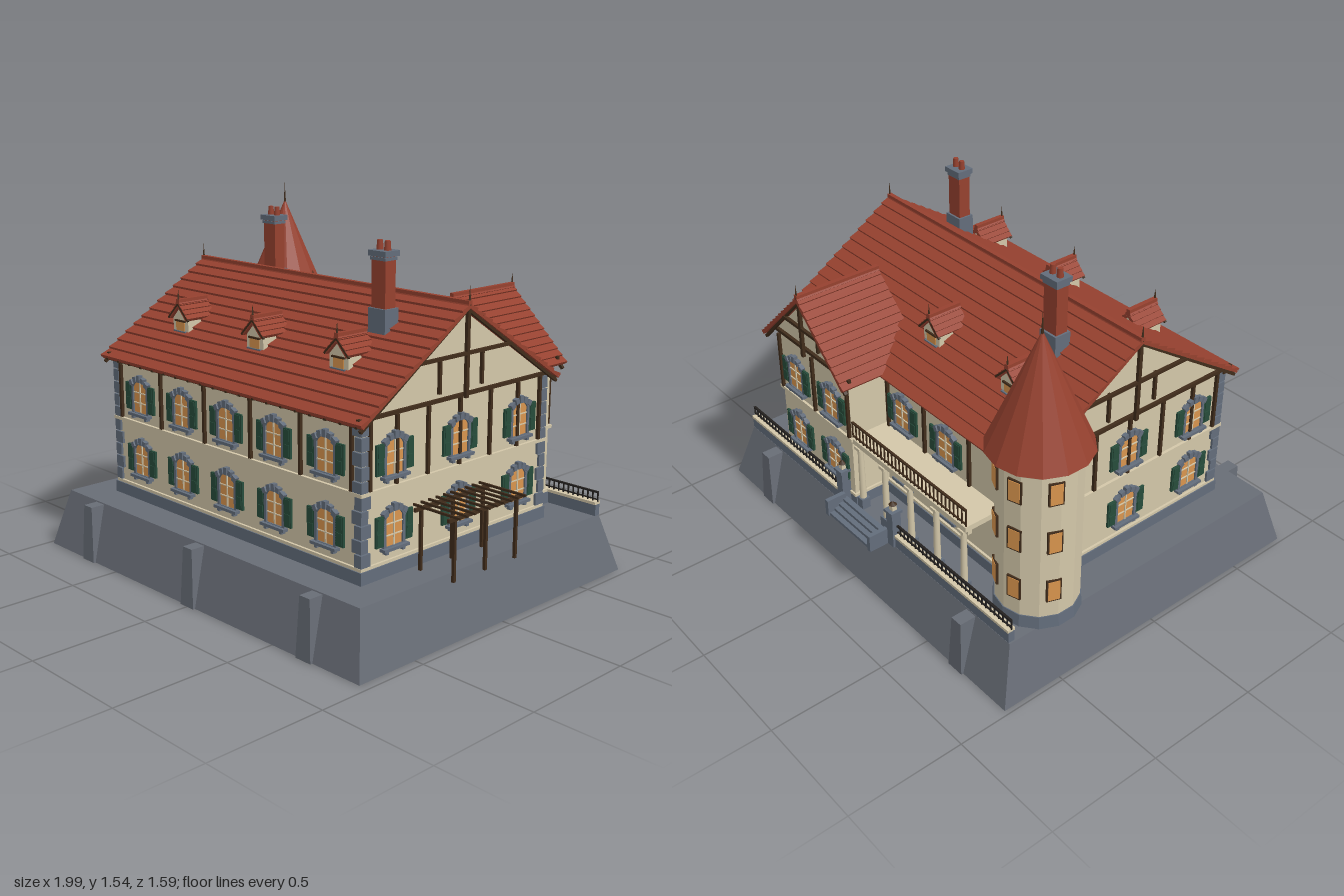
import * as THREE from 'three';

const mat = (name, color) => Object.assign(new THREE.MeshStandardMaterial({ color }), { name });
const M = {
  plaster: mat('cream plaster', 0xd3c7a9),
  roof: mat('red roof tile', 0x96412f),
  rock: mat('foundation stone', 0x686d76),
  stone: mat('dressed stone', 0x636d7b),
  timber: mat('dark timber', 0x402c1b),
  shutter: mat('green shutter', 0x274c3b),
  glass: mat('amber glass', 0xd9954e),
  iron: mat('black iron', 0x24211f),
};

function add(parent, name, geometry, material, x = 0, y = 0, z = 0) {
  const m = new THREE.Mesh(geometry, material);
  m.name = name;
  m.position.set(x, y, z);
  parent.add(m);
  return m;
}
const box = (p, name, material, w, h, d, x, y, z) =>
  add(p, name, new THREE.BoxGeometry(w, h, d), material, x, y, z);

function group(parent, name, x = 0, y = 0, z = 0, ry = 0) {
  const g = new THREE.Group();
  g.name = name;
  g.position.set(x, y, z);
  g.rotation.y = ry;
  parent.add(g);
  return g;
}

// Beam between two points of a wall plane
function beam(p, name, x0, y0, x1, y1, t, z, d = 0.014) {
  const m = box(p, name, M.timber, Math.hypot(x1 - x0, y1 - y0), t, d, (x0 + x1) / 2, (y0 + y1) / 2, z);
  m.rotation.z = Math.atan2(y1 - y0, x1 - x0);
}

// Box standing on y = 0 whose top is resized and shifted in z
function tapered(w, h, d, tw, td, tz) {
  const g = new THREE.BoxGeometry(w, h, d).translate(0, h / 2, 0);
  const a = g.attributes.position;
  for (let i = 0; i < a.count; i++) {
    if (a.getY(i) > h / 2) a.setXYZ(i, a.getX(i) * tw / w, h, a.getZ(i) * td / d + tz);
  }
  g.computeVertexNormals();
  return g;
}

function flat(g) {
  const f = g.toNonIndexed();
  f.computeVertexNormals();
  return f;
}

// Five-sided gable block, ridge along z
function gableBody(hw, y0, ye, ya, depth) {
  const s = new THREE.Shape([[-hw, y0], [hw, y0], [hw, ye], [0, ya], [-hw, ye]].map(p => new THREE.Vector2(...p)));
  return new THREE.ExtrudeGeometry(s, { depth, bevelEnabled: false }).translate(0, 0, -depth / 2);
}

// Gable roof in overlapping tile courses; ridge along local x at y = 0
function gableRoof(parent, name, half, rise, length, rows, x, y, z, ry = 0, t = 0.011) {
  const g = group(parent, name, x, y, z, ry);
  const a = Math.atan2(rise, half), run = Math.hypot(half, rise), row = run / rows;
  for (const turn of [0, Math.PI]) {
    const side = group(g, 'roofSlope', 0, 0, 0, turn);
    const slope = group(side, 'tileCourses');
    slope.rotation.x = a;
    box(slope, 'roofDeck', M.roof, length, 0.008, run, 0, -0.016, run / 2);
    for (let i = 0; i < rows; i++) {
      const c = box(slope, 'tileCourse', M.roof, length, t, row * 1.1, 0, -t / 2 - 0.004, row * (i + 0.5));
      c.rotation.x = -0.2;
    }
  }
  box(g, 'ridgeTile', M.roof, length, 0.014, 0.02, 0, -0.002, 0);
  return g;
}

const spike = (p, x, y, z, h, r = 0.006) => add(p, 'finial', new THREE.ConeGeometry(r, h, 6), M.timber, x, y + h / 2, z);

function archShape(w, h, rise) {
  const s = new THREE.Shape();
  s.moveTo(-w, -h);
  s.lineTo(w, -h);
  s.lineTo(w, h - rise);
  s.quadraticCurveTo(w * 0.75, h, 0, h);
  s.quadraticCurveTo(-w * 0.75, h, -w, h - rise);
  return s;
}
const extrude = (s, depth) => new THREE.ExtrudeGeometry(s, { depth, bevelEnabled: false, curveSegments: 4 });
const glassGeo = extrude(archShape(0.045, 0.07, 0.025), 0.006);
const ring = archShape(0.058, 0.083, 0.028);
ring.holes.push(archShape(0.045, 0.068, 0.025));
const ringGeo = extrude(ring, 0.013);

// Arched window with stone surround, sill and shutters, facing local +z
function archWindow(parent, x, y) {
  const g = group(parent, 'window', x, y, 0);
  add(g, 'windowGlass', glassGeo, M.glass);
  add(g, 'windowSurround', ringGeo, M.stone);
  box(g, 'mullion', M.plaster, 0.006, 0.134, 0.005, 0, 0, 0.008);
  for (const by of [-0.025, 0.02]) box(g, 'glazingBar', M.plaster, 0.09, 0.004, 0.005, 0, by, 0.008);
  box(g, 'sill', M.stone, 0.135, 0.012, 0.03, 0, -0.076, 0.012);
  for (const s of [-1, 1]) {
    box(g, 'sillBracket', M.stone, 0.014, 0.014, 0.02, s * 0.045, -0.088, 0.01);
    box(g, 'shutter', M.shutter, 0.042, 0.118, 0.01, s * 0.077, -0.002, 0.008);
    for (const sy of [-0.03, 0.03]) box(g, 'shutterPanel', M.shutter, 0.028, 0.045, 0.004, s * 0.078, sy, 0.014);
  }
  for (let i = -2; i <= 2; i++) {
    const v = box(g, 'archStone', M.stone, 0.02, i ? 0.022 : 0.03, 0.02, i * 0.026, 0.083 - i * i * 0.0055, 0.01);
    v.rotation.z = -i * 0.25;
  }
}

// Upper-floor timber posts
const posts = (f, xs) => xs.forEach(x => beam(f, 'wallPost', x, 0.6, x, 0.865, 0.013, 0.006));

// Timbered gable front centred on local x = 0
function gableTimber(f, hw, ye, ya, out) {
  const k = (ya - ye) / hw, collar = ye + (ya - ye) * 0.5;
  beam(f, 'gableTie', -hw - 0.03, ye + 0.008, hw + 0.03, ye + 0.008, 0.014, 0.012);
  beam(f, 'gableKingPost', 0, ye, 0, ya, 0.016, out);
  const cw = (ya - collar) / k;
  beam(f, 'gableCollar', -cw, collar, cw, collar, 0.013, out);
  for (const s of [-1, 1]) {
    beam(f, 'gableStud', s * hw * 0.23, ye + 0.03, s * hw * 0.23, collar - 0.015, 0.012, 0.006);
    beam(f, 'bargeBoard', s * (hw + 0.035), ye - 0.035 * k - 0.005, 0, ya - 0.005, 0.012, out - 0.005);
  }
}

function railing(p, name, x0, x1, y, z, h, step, material) {
  const g = group(p, name);
  const n = Math.round((x1 - x0) / step), mid = (x0 + x1) / 2;
  box(g, 'topRail', material, x1 - x0, 0.007, 0.01, mid, y + h, z);
  box(g, 'bottomRail', material, x1 - x0, 0.005, 0.006, mid, y + 0.01, z);
  for (let i = 0; i <= n; i++) box(g, 'baluster', material, 0.005, h, 0.005, x0 + (x1 - x0) * i / n, y + h / 2, z);
}

function dormer(root, x, z, ry) {
  const g = group(root, 'dormer', x, 0, z, ry);
  add(g, 'dormerWall', gableBody(0.05, 0.93, 1.05, 1.1, 0.13), M.plaster, 0, 0, -0.08);
  box(g, 'dormerWindow', M.glass, 0.056, 0.04, 0.006, 0, 1.012, -0.014);
  box(g, 'dormerLintel', M.timber, 0.068, 0.007, 0.01, 0, 1.036, -0.012);
  box(g, 'dormerSill', M.stone, 0.08, 0.008, 0.014, 0, 0.99, -0.012);
  gableRoof(g, 'dormerRoof', 0.067, 0.07, 0.155, 4, 0, 1.125, -0.077, Math.PI / 2, 0.009);
  for (const s of [-1, 1]) beam(g, 'dormerBarge', s * 0.066, 1.043, 0, 1.108, 0.008, -0.004, 0.01);
  spike(g, 0, 1.115, -0.005, 0.06);
}

function chimney(root, x, z, top) {
  const g = group(root, 'chimney', x, 0, z);
  box(g, 'chimneyBase', M.stone, 0.09, 0.2, 0.075, 0, 1.1, 0);
  box(g, 'chimneyStack', M.roof, 0.073, top - 1.24, 0.056, 0, (top + 1.14) / 2, 0);
  box(g, 'chimneyCap', M.stone, 0.092, 0.022, 0.078, 0, top - 0.048, 0);
  box(g, 'chimneyNeck', M.stone, 0.08, 0.012, 0.065, 0, top - 0.068, 0);
  for (const s of [-1, 1]) add(g, 'chimneyPot', new THREE.CylinderGeometry(0.011, 0.014, 0.04, 8), M.roof, s * 0.02, top - 0.02, 0);
}

export function createModel() {
  const root = new THREE.Group();
  root.name = 'manorHouse';
  const floors = [0.433, 0.71], zc = 0.037;

  // Sloping foundation with buttresses
  add(root, 'foundation', tapered(1.94, 0.25, 1.56, 1.815, 1.42, 0.005), M.rock, -0.01, 0, 0.005);
  for (const [z, ry, xs] of [[0.745, 0, [-0.69, 0, 0.68]], [-0.735, Math.PI, [-0.69, 0.68]]])
    for (const x of xs) {
      const b = add(root, 'buttress', tapered(0.08, 0.245, 0.1, 0.055, 0.08, 0), M.rock, x, 0, z);
      b.rotation.y = ry;
    }

  // Main block
  box(root, 'plinth', M.stone, 1.53, 0.05, 1.085, -0.005, 0.275, zc);
  const body = add(root, 'mainWalls', gableBody(0.527, 0.3, 0.868, 1.208, 1.5), M.plaster, -0.005, 0, zc);
  body.rotation.y = Math.PI / 2;
  box(root, 'baseMoulding', M.plaster, 1.52, 0.012, 1.075, -0.005, 0.306, zc);
  box(root, 'stringCourse', M.plaster, 1.525, 0.014, 1.08, -0.005, 0.592, zc);
  gableRoof(root, 'mainRoof', 0.575, 0.368, 1.59, 13, -0.005, 1.238, zc);
  for (const x of [-0.795, 0.785]) spike(root, x, 1.225, zc, 0.075);
  for (const s of [-1, 1]) box(root, 'eavesBeam', M.timber, 1.57, 0.012, 0.016, -0.005, 0.857, zc + s * 0.555);
  for (let i = 0; i < 20; i++) box(root, 'rafterEnd', M.timber, 0.012, 0.016, 0.05, -0.765 + i * 0.08, 0.858, 0.58);

  // Corner quoins, alternating long and short
  for (const sx of [-1, 1]) for (const sz of [-1, 1]) for (let i = 0; i < 10; i++) {
    const a = i % 2 ? 0.05 : 0.036, b = i % 2 ? 0.036 : 0.05;
    box(root, 'quoin', M.stone, a, 0.05, b, -0.005 + sx * (0.76 - a / 2), 0.338 + i * 0.0555, zc + sz * (0.537 - b / 2));
  }

  // Facades of the main block
  const front = group(root, 'frontFacade', 0, 0, 0.564);
  const right = group(root, 'rightFacade', 0.745, 0, zc, Math.PI / 2);
  const left = group(root, 'leftFacade', -0.755, 0, zc, -Math.PI / 2);
  const back = group(root, 'backFacade', 0, 0, -0.49, Math.PI);
  for (const y of floors) {
    for (let i = -2; i <= 2; i++) archWindow(front, -0.005 + i * 0.286, y);
    for (const x of [-0.363, 0, 0.363]) archWindow(right, x, y);
    for (const x of [0, 0.363]) archWindow(left, x, y);
    for (const x of [0, 0.286]) archWindow(back, x, y);
  }
  posts(front, [-0.715, -0.433, -0.145, 0.14, 0.428, 0.7]);
  posts(back, [-0.1, 0.145, 0.43]);
  posts(right, [-0.49, -0.35, -0.18, 0, 0.18, 0.35, 0.49]);
  posts(left, [-0.18, 0, 0.18, 0.35, 0.49]);
  for (const f of [right, left]) gableTimber(f, 0.53, 0.868, 1.215, 0.034);

  // Rear wing
  box(root, 'wingPlinth', M.stone, 0.54, 0.05, 0.24, 0.385, 0.275, -0.55);
  add(root, 'wingWalls', gableBody(0.258, 0.3, 0.895, 1.14, 0.335), M.plaster, 0.385, 0, -0.4975);
  box(root, 'wingMoulding', M.plaster, 0.535, 0.012, 0.24, 0.385, 0.306, -0.553);
  box(root, 'wingStringCourse', M.plaster, 0.54, 0.014, 0.24, 0.385, 0.592, -0.556);
  gableRoof(root, 'wingRoof', 0.305, 0.295, 0.4, 12, 0.385, 1.17, -0.52, Math.PI / 2);
  spike(root, 0.385, 1.155, -0.715, 0.065);
  const wing = group(root, 'wingFacade', 0.385, 0, -0.665, Math.PI);
  for (const y of floors) for (const s of [-1, 1]) archWindow(wing, s * 0.133, y);
  posts(wing, [-0.25, 0, 0.25]);
  gableTimber(wing, 0.26, 0.885, 1.15, 0.042);

  // Round corner tower
  const tower = group(root, 'tower', -0.79, 0, -0.455);
  add(tower, 'towerBase', flat(new THREE.CylinderGeometry(0.172, 0.176, 0.055, 14)), M.stone, 0, 0.277, 0);
  add(tower, 'towerWall', flat(new THREE.CylinderGeometry(0.168, 0.168, 0.69, 14)), M.plaster, 0, 0.645, 0);
  add(tower, 'towerCornice', flat(new THREE.CylinderGeometry(0.182, 0.17, 0.03, 14)), M.plaster, 0, 0.968, 0);
  add(tower, 'towerRoof', flat(new THREE.ConeGeometry(0.208, 0.478, 14)), M.roof, 0, 1.222, 0);
  spike(tower, 0, 1.44, 0, 0.1);
  for (const deg of [-25, 17, 70]) {
    const side = group(tower, 'towerWindows', 0, 0, 0, Math.PI + deg * Math.PI / 180);
    for (const y of [0.43, 0.66, 0.88]) {
      box(side, 'towerWindowFrame', M.timber, 0.06, 0.1, 0.02, 0, y, 0.161);
      box(side, 'towerWindowGlass', M.glass, 0.048, 0.088, 0.006, 0, y, 0.17);
    }
  }

  // Balcony on columns between tower and wing
  box(root, 'balconySlab', M.plaster, 0.75, 0.024, 0.18, -0.245, 0.588, -0.578);
  box(root, 'balconyBeam', M.plaster, 0.75, 0.02, 0.02, -0.245, 0.568, -0.645);
  railing(root, 'balconyRailing', -0.615, 0.125, 0.6, -0.66, 0.075, 0.025, M.timber);
  for (let i = 0; i < 5; i++) {
    const x = -0.58 + i * 0.17;
    add(root, 'balconyColumn', new THREE.CylinderGeometry(0.012, 0.015, 0.31, 10), M.plaster, x, 0.405, -0.645);
    box(root, 'columnCapital', M.plaster, 0.036, 0.014, 0.036, x, 0.553, -0.645);
    box(root, 'columnFoot', M.stone, 0.04, 0.05, 0.04, x, 0.275, -0.645);
  }

  // Terrace parapet, gate posts with lanterns, and stairs
  for (const [x0, x1] of [[-0.91, -0.17], [0.17, 0.9]]) {
    box(root, 'parapet', M.stone, x1 - x0, 0.05, 0.028, (x0 + x1) / 2, 0.275, -0.685);
    box(root, 'parapetCoping', M.plaster, x1 - x0, 0.012, 0.036, (x0 + x1) / 2, 0.305, -0.685);
    railing(root, 'parapetRailing', x0, x1, 0.31, -0.685, 0.042, 0.025, M.iron);
  }
  for (const s of [-1, 1]) {
    box(root, 'gatePost', M.stone, 0.042, 0.165, 0.042, s * 0.178, 0.333, -0.688);
    box(root, 'gatePostCap', M.stone, 0.054, 0.012, 0.054, s * 0.178, 0.42, -0.688);
    box(root, 'lantern', M.plaster, 0.022, 0.026, 0.022, s * 0.178, 0.438, -0.688);
    add(root, 'lanternHood', new THREE.ConeGeometry(0.018, 0.016, 8), M.timber, s * 0.178, 0.459, -0.688);
    box(root, 'stairCheek', M.stone, 0.02, 0.075, 0.09, s * 0.15, 0.287, -0.752);
  }
  for (let i = 0; i < 4; i++) box(root, 'stairStep', M.stone, 0.29, 0.013 * (4 - i), 0.024, 0, 0.25 + 0.0065 * (4 - i), -0.709 - i * 0.023);

  // Roof features
  for (const x of [-0.485, -0.005, 0.475]) dormer(root, x, 0.43, 0);
  for (const x of [-0.485, -0.005]) dormer(root, x, -0.356, Math.PI);
  chimney(root, -0.5, -0.13, 1.475);
  chimney(root, 0.5, 0.205, 1.457);

  // Pergola beside the right wall
  const pergola = group(root, 'pergola', 0, 0, 0.125);
  for (const x of [0.8, 0.965]) {
    box(pergola, 'pergolaBeam', M.timber, 0.012, 0.014, 0.43, x, 0.495, 0);
    for (const z of [-0.178, 0, 0.178]) box(pergola, 'pergolaPost', M.timber, 0.012, 0.24, 0.012, x, 0.37, z);
  }
  for (let i = 0; i < 10; i++) box(pergola, 'pergolaSlat', M.timber, 0.23, 0.009, 0.008, 0.885, 0.506, -0.19 + i * 0.042);

  return root;
}
